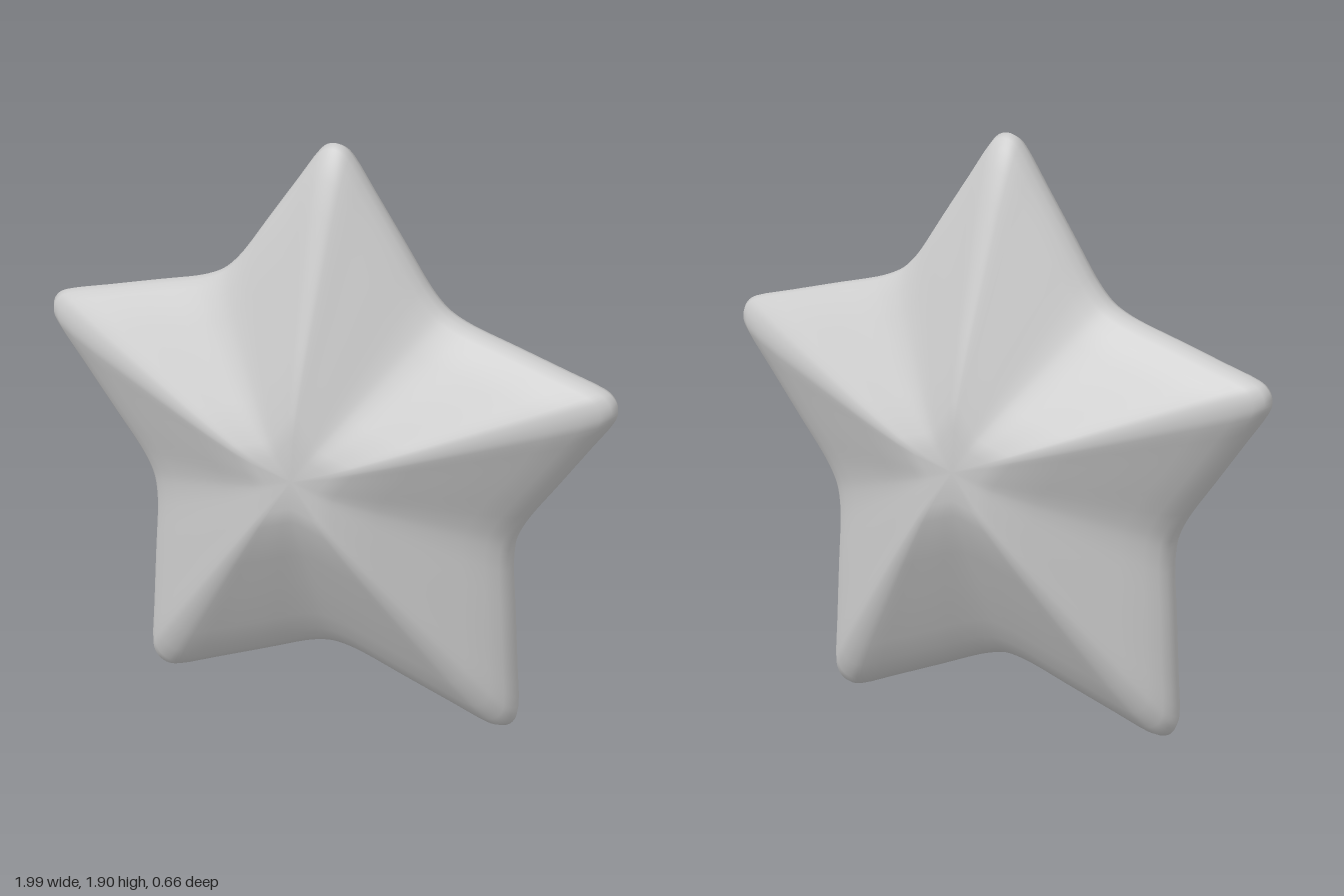
import * as THREE from 'three';

const CENTRE_Y = 0.86;

// Half of one arm's outline, from the rounded tip to the notch
const HALF_ARM = [
  [0, 1.045], [0.03, 1.037], [0.055, 1.015], [0.13, 0.905],
  [0.24, 0.742], [0.32, 0.622], [0.36, 0.573], [0.394, 0.542],
];

// Thickness profile: outline scale and half depth, from the middle to the rim
const PROFILE = [
  [0, 0.33], [0.14, 0.33], [0.22, 0.315], [0.32, 0.287], [0.42, 0.255],
  [0.6, 0.191], [0.8, 0.12], [0.9, 0.078], [0.96, 0.048], [0.988, 0.024], [1, 0],
];

// Closed five-armed outline, running clockwise from the top tip
function starOutline() {
  const mirrored = HALF_ARM.slice(1, -1).reverse().map(([x, y]) => [-x, y]);
  const points = [];
  for (let arm = 0; arm < 5; arm++) {
    const turn = (-arm * 2 * Math.PI) / 5;
    const next = turn - (2 * Math.PI) / 5;
    const add = ([x, y], a) =>
      points.push(new THREE.Vector3(x, y, 0).applyAxisAngle(new THREE.Vector3(0, 0, 1), a));
    HALF_ARM.forEach((p) => add(p, turn));
    mirrored.forEach((p) => add(p, next));
  }
  const curve = new THREE.CatmullRomCurve3(points, true, 'centripetal');
  return curve.getPoints(points.length * 3).slice(0, -1);
}

// Scaled copies of the outline, joined from the front middle to the back middle
function starGeometry() {
  const outline = starOutline();
  const n = outline.length;
  const back = PROFILE.slice(0, -1).reverse().map(([s, z]) => [s, -z]);
  const rings = [...PROFILE, ...back];
  const positions = [];
  const indices = [];
  rings.forEach(([s, z]) => outline.forEach((p) => positions.push(p.x * s, p.y * s, z)));
  for (let i = 0; i < rings.length - 1; i++) {
    for (let j = 0; j < n; j++) {
      const k = (j + 1) % n;
      const a = i * n + j, c = i * n + k;
      const b = a + n, d = c + n;
      if (i > 0) indices.push(a, c, b);
      if (i < rings.length - 2) indices.push(b, c, d);
    }
  }
  const geometry = new THREE.BufferGeometry();
  geometry.setAttribute('position', new THREE.Float32BufferAttribute(positions, 3));
  geometry.setIndex(indices);
  geometry.computeVertexNormals();
  return geometry;
}

export function createModel() {
  const group = new THREE.Group();
  const star = new THREE.Mesh(starGeometry(), new THREE.MeshStandardMaterial({ color: 0xcccccc }));
  star.name = 'star';
  star.position.y = CENTRE_Y;
  group.add(star);
  return group;
}
